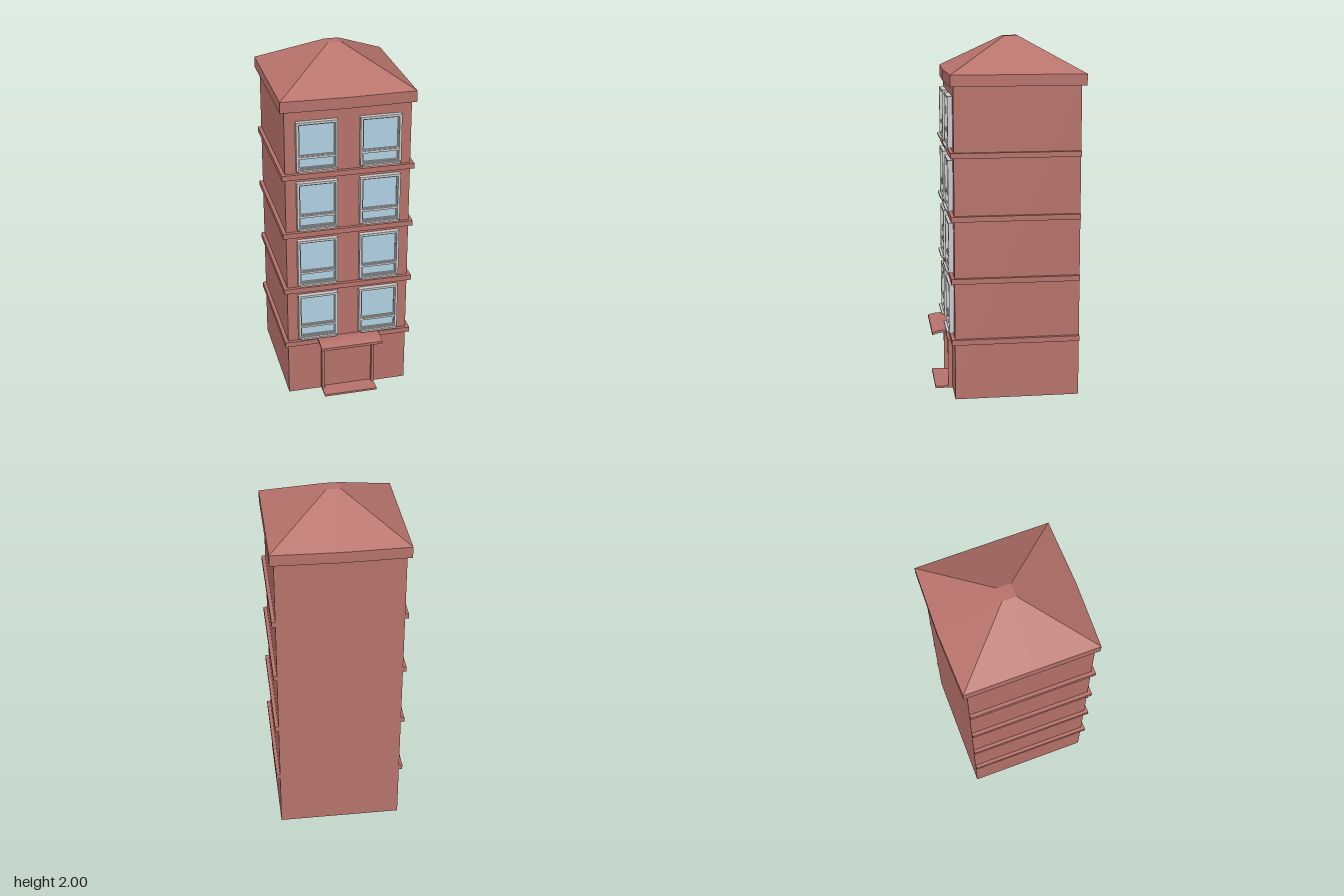
import * as THREE from 'three';

const mat = (color, side = THREE.FrontSide) =>
  new THREE.MeshStandardMaterial({ color, side, flatShading: true });

const brick = mat(0xb8736c);
const grey = mat(0xcccccc);
const glass = mat(0xb2d2e4);

const FRONT = 0.307, BACK = -0.39, STOREY = 0.348;

function add(parent, name, geometry, material) {
  const mesh = new THREE.Mesh(geometry, material);
  mesh.name = name;
  parent.add(mesh);
  return mesh;
}

// Box given by its limits on each axis
function box(parent, name, material, [x0, x1], [y0, y1], [z0, z1]) {
  const mesh = add(parent, name, new THREE.BoxGeometry(x1 - x0, y1 - y0, z1 - z0), material);
  mesh.position.set((x0 + x1) / 2, (y0 + y1) / 2, (z0 + z1) / 2);
  return mesh;
}

function rect(x0, x1, y0, y1, Type = THREE.Path) {
  const p = new Type();
  p.moveTo(x0, y0);
  p.lineTo(x1, y0);
  p.lineTo(x1, y1);
  p.lineTo(x0, y1);
  p.closePath();
  return p;
}

// Flat frame with rectangular openings, extruded towards the front
function frame(parent, name, material, outer, holes, z0, z1) {
  const shape = rect(...outer, THREE.Shape);
  holes.forEach(h => shape.holes.push(rect(...h)));
  const geometry = new THREE.ExtrudeGeometry(shape, { depth: z1 - z0, bevelEnabled: false });
  add(parent, name, geometry, material).position.z = z0;
}

// Window centred on x = 0, standing on y = 0
function createWindow() {
  const g = new THREE.Group();
  g.name = 'window';
  frame(g, 'windowFrame', grey, [-0.113, 0.113, 0, 0.28], [[-0.1, 0.1, 0.014, 0.267]], FRONT - 0.002, 0.334);
  frame(g, 'windowSash', grey, [-0.1, 0.1, 0.014, 0.267],
    [[-0.094, 0.094, 0.02, 0.068], [-0.094, 0.094, 0.09, 0.261]], FRONT, 0.325);
  box(g, 'windowTransom', grey, [-0.1, 0.1], [0.075, 0.083], [FRONT, 0.33]);
  box(g, 'windowGlass', glass, [-0.1, 0.1], [0.014, 0.267], [FRONT - 0.002, 0.316]);
  box(g, 'windowSill', grey, [-0.105, 0.105], [0, 0.01], [FRONT, 0.348]);
  return g;
}

// Hipped roof: eight-point rings joined by strips, bowed slightly at front and back
function roofGeometry() {
  const ring = (w, z0, z1, bow, y) => [
    [-w, y, z1], [0, y, z1 + bow], [w, y, z1], [w, y, (z0 + z1) / 2],
    [w, y, z0], [0, y, z0 - bow], [-w, y, z0], [-w, y, (z0 + z1) / 2],
  ];
  const rings = [
    ring(0.37, -0.415, 0.325, 0.01, 1.75),
    ring(0.37, -0.415, 0.325, 0.01, 1.812),
    ring(0.038, -0.083, -0.007, 0, 2),
  ];
  const pos = [];
  const tri = (a, b, c) => pos.push(...a, ...b, ...c);
  for (let r = 0; r < 2; r++) {
    for (let i = 0; i < 8; i++) {
      const j = (i + 1) % 8;
      tri(rings[r][i], rings[r][j], rings[r + 1][j]);
      tri(rings[r][i], rings[r + 1][j], rings[r + 1][i]);
    }
  }
  for (let i = 0; i < 8; i++) {
    const j = (i + 1) % 8;
    tri([0, 2, -0.045], rings[2][i], rings[2][j]);
    tri([0, 1.75, -0.045], rings[0][j], rings[0][i]);
  }
  const g = new THREE.BufferGeometry();
  g.setAttribute('position', new THREE.Float32BufferAttribute(pos, 3));
  g.computeVertexNormals();
  return g;
}

// Curved canopy: side profile swept across the width
function canopyGeometry() {
  const shape = new THREE.Shape();
  shape.moveTo(-0.3, 0.335);
  shape.quadraticCurveTo(-0.36, 0.351, -0.422, 0.325);
  shape.lineTo(-0.422, 0.341);
  shape.quadraticCurveTo(-0.37, 0.362, -0.3, 0.348);
  shape.closePath();
  const g = new THREE.ExtrudeGeometry(shape, { depth: 0.356, bevelEnabled: false, curveSegments: 6 });
  g.translate(0, 0, -0.178);
  g.rotateY(Math.PI / 2);
  return g;
}

export function createModel() {
  const model = new THREE.Group();
  model.name = 'townhouse';

  box(model, 'walls', brick, [-0.347, 0.347], [0, 1.76], [BACK, FRONT]);
  add(model, 'roof', roofGeometry(), brick);

  // Four upper storeys, each with a string course and a pair of windows
  for (let i = 0; i < 4; i++) {
    const y = 0.32 + i * STOREY;
    box(model, 'stringCourse', brick, [-0.367, 0.367], [y, y + 0.03], [BACK + 0.0005, 0.326]);
    for (const side of [-1, 1]) {
      const win = createWindow();
      win.position.set(side * 0.175, y + 0.048, 0);
      model.add(win);
    }
  }

  // Entrance
  const entrance = new THREE.Group();
  entrance.name = 'entrance';
  model.add(entrance);
  frame(entrance, 'doorFrame', brick, [-0.156, 0.156, 0, 0.286], [[-0.14, 0.14, 0.012, 0.272]], FRONT - 0.002, 0.332);
  box(entrance, 'door', brick, [-0.14, 0.14], [0.012, 0.272], [FRONT - 0.002, 0.31]);
  box(entrance, 'doorstep', brick, [-0.155, 0.155], [0, 0.012], [FRONT, 0.405]);
  add(entrance, 'canopy', canopyGeometry(), brick);

  return model;
}
